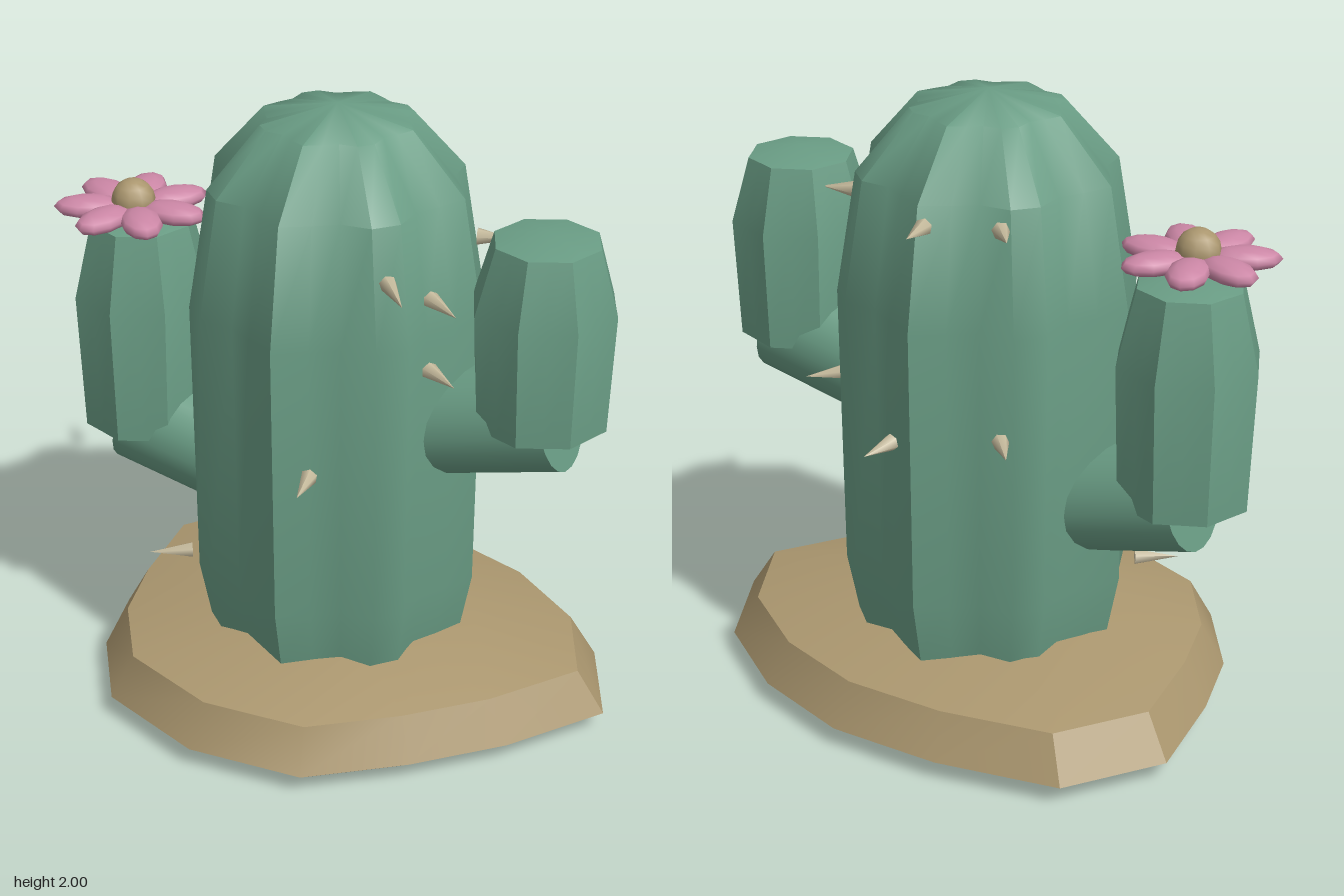
import * as THREE from 'three';
import { toCreasedNormals } from 'three/addons/utils/BufferGeometryUtils.js';

const mat = (name, color) => {
  const m = new THREE.MeshStandardMaterial({ color });
  m.name = name;
  return m;
};

// Skins a stack of rings, listed bottom to top, each running from +z towards +x.
function loft(rings, crease) {
  const n = rings[0].length;
  const index = [];
  for (let i = 0; i < rings.length - 1; i++) {
    for (let j = 0; j < n; j++) {
      const k = (j + 1) % n;
      const a = i * n + j, b = i * n + k, c = a + n, d = b + n;
      index.push(a, b, d, a, d, c);
    }
  }
  const geo = new THREE.BufferGeometry();
  geo.setAttribute('position', new THREE.Float32BufferAttribute(rings.flat(2), 3));
  geo.setIndex(index);
  return toCreasedNormals(geo, crease);
}

// Ribbed column from a [radius, y] profile.
function ribbed(profile, segments, ribDepth) {
  const rings = profile.map(([r, y]) => Array.from({ length: segments }, (_, j) => {
    const t = (j / segments) * Math.PI * 2;
    const s = r * (1 - ribDepth + ribDepth * Math.cos(8 * t));
    return [s * Math.sin(t), y, s * Math.cos(t)];
  }));
  return loft(rings, 0.75);
}

export function createModel() {
  const group = new THREE.Group();
  const green = mat('cactusGreen', 0x6a9d85);
  const sand = mat('sand', 0xab976f);
  const pink = mat('petalPink', 0xcc87a6);
  const bone = mat('spineBone', 0xc6bb9d);

  const add = (name, geo, material, parent = group) => {
    const mesh = new THREE.Mesh(geo, material);
    mesh.name = name;
    parent.add(mesh);
    return mesh;
  };

  // Sandy mound: one uneven outline scaled at several heights
  const outline = [
    [-0.2, 0.69], [0.18, 0.68], [0.46, 0.48], [0.7, 0.26], [0.92, -0.03],
    [0.78, -0.35], [0.5, -0.565], [0.17, -0.685], [-0.2, -0.695], [-0.6, -0.63],
    [-0.82, -0.35], [-0.79, 0], [-0.73, 0.27], [-0.56, 0.54],
  ];
  const levels = [[0, 0], [0.87, 0], [1, 0.065], [0.9, 0.205], [0.52, 0.275], [0, 0.29]];
  add('sandMound', loft(levels.map(([s, y]) => outline.map(([x, z]) => [x * s, y, z * s])), 0.6), sand);

  // Trunk
  const trunk = add('trunk', ribbed([
    [0, 0.15], [0.41, 0.15], [0.435, 0.27], [0.472, 0.46], [0.48, 1.38],
    [0.415, 1.76], [0.245, 1.95], [0, 2],
  ], 28, 0.073), green);
  trunk.position.set(-0.015, 0, -0.03);

  // Arms: a tilted stub out of the trunk and an upright ribbed limb
  function arm(name, side, x, bottom, height, stubY) {
    const g = new THREE.Group();
    g.name = name;
    const limb = add('limb', ribbed([
      [0, 0], [0.212, 0], [0.228, height * 0.62], [0.168, height * 0.955], [0, height],
    ], 16, 0.04), green, g);
    limb.position.set(x, bottom, -0.025);
    const from = new THREE.Vector3(side * 0.26, stubY - 0.115, -0.03);
    const to = new THREE.Vector3(side * 0.73, stubY, -0.03);
    const dir = to.clone().sub(from);
    const stub = add('stub', new THREE.CylinderGeometry(0.18, 0.18, dir.length(), 20), green, g);
    stub.position.copy(from).add(to).multiplyScalar(0.5);
    stub.quaternion.setFromUnitVectors(new THREE.Vector3(0, 1, 0), dir.normalize());
    group.add(g);
  }
  arm('leftArm', 1, 0.665, 1.087, 0.618, 1.115);
  arm('rightArm', -1, -0.695, 0.805, 0.735, 0.825);

  // Flower on the right arm
  const flower = new THREE.Group();
  flower.name = 'flower';
  flower.position.set(-0.69, 1.57, 0.03);
  group.add(flower);
  for (let i = 0; i < 7; i++) {
    const a = (i / 7) * Math.PI * 2;
    const petal = add('petal', new THREE.SphereGeometry(1, 10, 6), pink, flower);
    petal.scale.set(0.11, 0.034, 0.065);
    petal.position.set(0.14 * Math.cos(a), 0, 0.14 * Math.sin(a));
    petal.rotation.y = -a;
  }
  const heart = add('flowerCentre', new THREE.SphereGeometry(0.07, 10, 8), sand, flower);
  heart.position.y = 0.02;

  // Spines: base point and tip of each cone
  const spines = [
    [0.09, 0.97, 0.41, 0.11, 0.97, 0.54],
    [0.29, 1.6, 0.29, 0.38, 1.585, 0.395],
    [0.38, 1.52, 0.18, 0.49, 1.51, 0.25],
    [0.38, 1.285, 0.18, 0.49, 1.28, 0.25],
    [0.42, 1.62, -0.09, 0.53, 1.62, -0.115],
    [0.39, 1.06, -0.22, 0.49, 1.05, -0.3],
    [0.065, 1.0, -0.48, 0.09, 0.995, -0.6],
    [-0.05, 1.71, -0.47, -0.07, 1.72, -0.6],
    [-0.27, 1.72, -0.41, -0.345, 1.73, -0.51],
    [-0.27, 1.05, -0.41, -0.345, 1.05, -0.51],
    [-0.45, 0.44, 0.16, -0.57, 0.44, 0.23],
  ];
  for (const [x, y, z, tx, ty, tz] of spines) {
    const base = new THREE.Vector3(x, y, z), tip = new THREE.Vector3(tx, ty, tz);
    const dir = tip.clone().sub(base);
    const spine = add('spine', new THREE.ConeGeometry(0.027, dir.length(), 6), bone);
    spine.position.copy(base).add(tip).multiplyScalar(0.5);
    spine.quaternion.setFromUnitVectors(new THREE.Vector3(0, 1, 0), dir.normalize());
  }
  return group;
}
